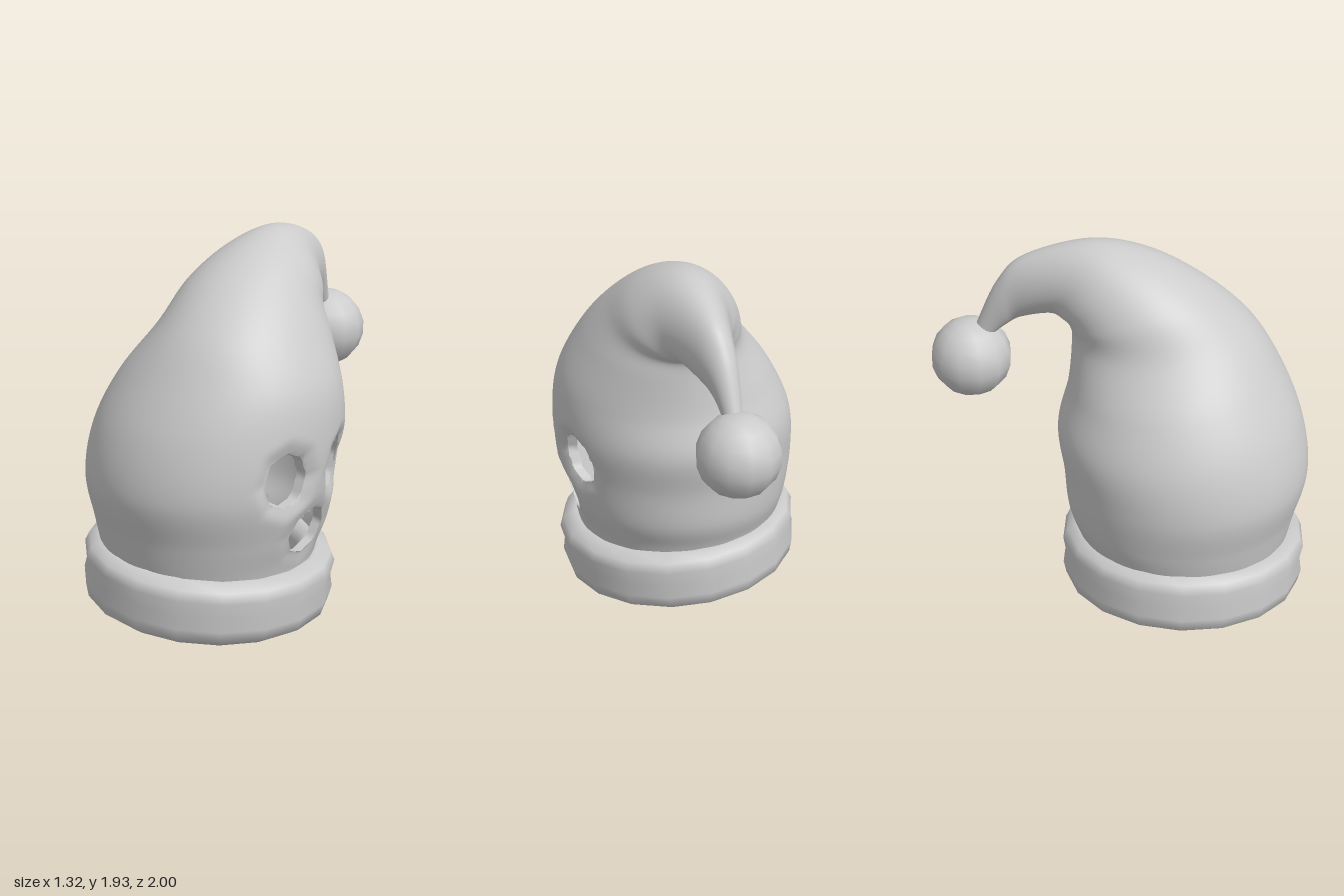
import * as THREE from 'three';

const V = (x, y, z) => new THREE.Vector3(x, y, z);
const material = new THREE.MeshStandardMaterial({ color: 0xcccccc, side: THREE.DoubleSide });

// Cross-sections of the hat: front z, y / back z, y / right and left x
const RINGS = [
  [0.87, 0.22, -0.17, 0.26, -0.54, 0.51],
  [0.91, 0.36, -0.21, 0.39, -0.57, 0.54],
  [0.945, 0.52, -0.26, 0.53, -0.605, 0.59],
  [0.995, 0.76, -0.28, 0.74, -0.635, 0.64],
  [0.945, 1.03, -0.315, 0.96, -0.605, 0.66],
  [0.82, 1.29, -0.27, 1.18, -0.49, 0.635],
  [0.655, 1.53, -0.26, 1.40, -0.32, 0.53],
  [0.40, 1.745, -0.27, 1.49, -0.26, 0.43],
  [0.11, 1.885, -0.31, 1.515, -0.19, 0.355],
  [-0.18, 1.925, -0.37, 1.52, -0.11, 0.25],
  [-0.50, 1.825, -0.52, 1.48, -0.06, 0.15],
  [-0.64, 1.68, -0.59, 1.44, -0.05, 0.10],
  [-0.75, 1.44, -0.66, 1.38, -0.04, 0.06],
  [-0.80, 1.30, -0.74, 1.27, -0.04, 0.05],
];

// Octagonal openings on the left side: centre z, y, half width, half height, dent
const HOLES = [
  { name: 'frontEyeRim', z: 0.565, y: 0.845, rz: 0.125, ry: 0.145, dent: 0.035 },
  { name: 'rearEyeRim', z: 0.13, y: 0.83, rz: 0.13, ry: 0.14, dent: 0.035 },
  { name: 'mouthRim', z: 0.365, y: 0.535, rz: 0.15, ry: 0.125, dent: 0.012 },
];

// Distance from a hole's centre, 1 on its octagonal edge
function holeDistance(h, p) {
  let d = 0;
  for (let k = 0; k < 8; k++) {
    const a = ((k + 0.5) * Math.PI) / 4;
    d = Math.max(d, ((p.z - h.z) / h.rz) * Math.cos(a) + ((p.y - h.y) / h.ry) * Math.sin(a));
  }
  return d / Math.cos(Math.PI / 8);
}

function meshFrom(points, index, name) {
  const geometry = new THREE.BufferGeometry().setFromPoints(points);
  geometry.setIndex(index);
  geometry.computeVertexNormals();
  const mesh = new THREE.Mesh(geometry, material);
  mesh.name = name;
  return mesh;
}

function createHat() {
  const group = new THREE.Group();
  group.name = 'hat';
  const curve = (f) => new THREE.CatmullRomCurve3(RINGS.map(f), false, 'catmullrom', 0.5);
  const front = curve((r) => V(0, r[1], r[0]));
  const back = curve((r) => V(0, r[3], r[2]));
  const sides = curve((r) => V(r[4], r[5], 0));
  const rows = 156, cols = 144;
  const points = [], inside = [];

  for (let i = 0; i <= rows; i++) {
    const f = front.getPoint(i / rows), b = back.getPoint(i / rows), s = sides.getPoint(i / rows);
    for (let j = 0; j < cols; j++) {
      const a = (j / cols) * Math.PI * 2;
      const p = b.clone().lerp(f, 0.5 + 0.5 * Math.cos(a));
      p.x = (s.x + s.y) / 2 + (Math.sin(a) * (s.y - s.x)) / 2;
      let hit = false;
      if (p.x > 0.2 && i < rows / 2) {
        let dent = 0;
        for (const h of HOLES) {
          const d = holeDistance(h, p);
          dent = Math.max(dent, h.dent * (1 - THREE.MathUtils.smoothstep(d, 0.8, 1.6)));
          if (d < 1) {
            // Slide vertices inside the opening out to its edge
            hit = true;
            const g = 1 / Math.max(d, 0.01);
            p.z = h.z + (p.z - h.z) * g;
            p.y = h.y + (p.y - h.y) * g;
          }
        }
        p.x -= dent;
      }
      points.push(p);
      inside.push(hit);
    }
  }

  const index = [];
  const tri = (a, b, c) => {
    if (!(inside[a] && inside[b] && inside[c])) index.push(a, b, c);
  };
  for (let i = 0; i < rows; i++) {
    for (let j = 0; j < cols; j++) {
      const a = i * cols + j, b = i * cols + ((j + 1) % cols);
      tri(a, b, b + cols);
      tri(a, b + cols, a + cols);
    }
  }
  group.add(meshFrom(points, index, 'hatBody'));

  // Short walls giving the openings thickness
  const used = [...new Set(index)].map((i) => points[i]).filter((p) => p.x > 0.2);
  const steps = 32;
  for (const h of HOLES) {
    const rim = [], faces = [];
    for (let k = 0; k < steps; k++) {
      const a = (k / steps) * Math.PI * 2;
      const q = V(0, h.y + h.ry * Math.sin(a), h.z + h.rz * Math.cos(a));
      const g = 1 / holeDistance(h, q);
      q.y = h.y + (q.y - h.y) * g;
      q.z = h.z + (q.z - h.z) * g;
      let best = Infinity;
      for (const p of used) {
        const d = Math.hypot(p.y - q.y, p.z - q.z);
        if (d < best) { best = d; q.x = p.x; }
      }
      rim.push(q, V(q.x - 0.05, q.y, q.z));
      const o = 2 * k, m = (2 * k + 2) % (2 * steps);
      faces.push(o, m, o + 1, m, m + 1, o + 1);
    }
    group.add(meshFrom(rim, faces, h.name));
  }
  return group;
}

export function createModel() {
  const model = new THREE.Group();
  model.name = 'hollowHat';
  model.add(createHat());

  // Thick rounded band, tilted down towards the face side, hollowed on the inside
  const profile = [
    [0.47, 0.07], [0.50, 0.02], [0.58, 0], [0.63, 0.035], [0.645, 0.10], [0.632, 0.17],
    [0.647, 0.25], [0.625, 0.30], [0.56, 0.335], [0.50, 0.31], [0.47, 0.26], [0.51, 0.16], [0.47, 0.07],
  ].map(([r, y]) => new THREE.Vector2(r, y));
  const band = new THREE.Mesh(new THREE.LatheGeometry(profile, 18), material);
  band.name = 'band';
  band.position.set(-0.032, 0.046, 0.355);
  band.rotation.z = -0.08;
  model.add(band);

  // Ball at the drooping tip
  const ball = new THREE.Mesh(new THREE.SphereGeometry(0.212, 12, 9), material);
  ball.name = 'pompom';
  ball.position.set(0, 1.235, -0.788);
  model.add(ball);

  return model;
}
